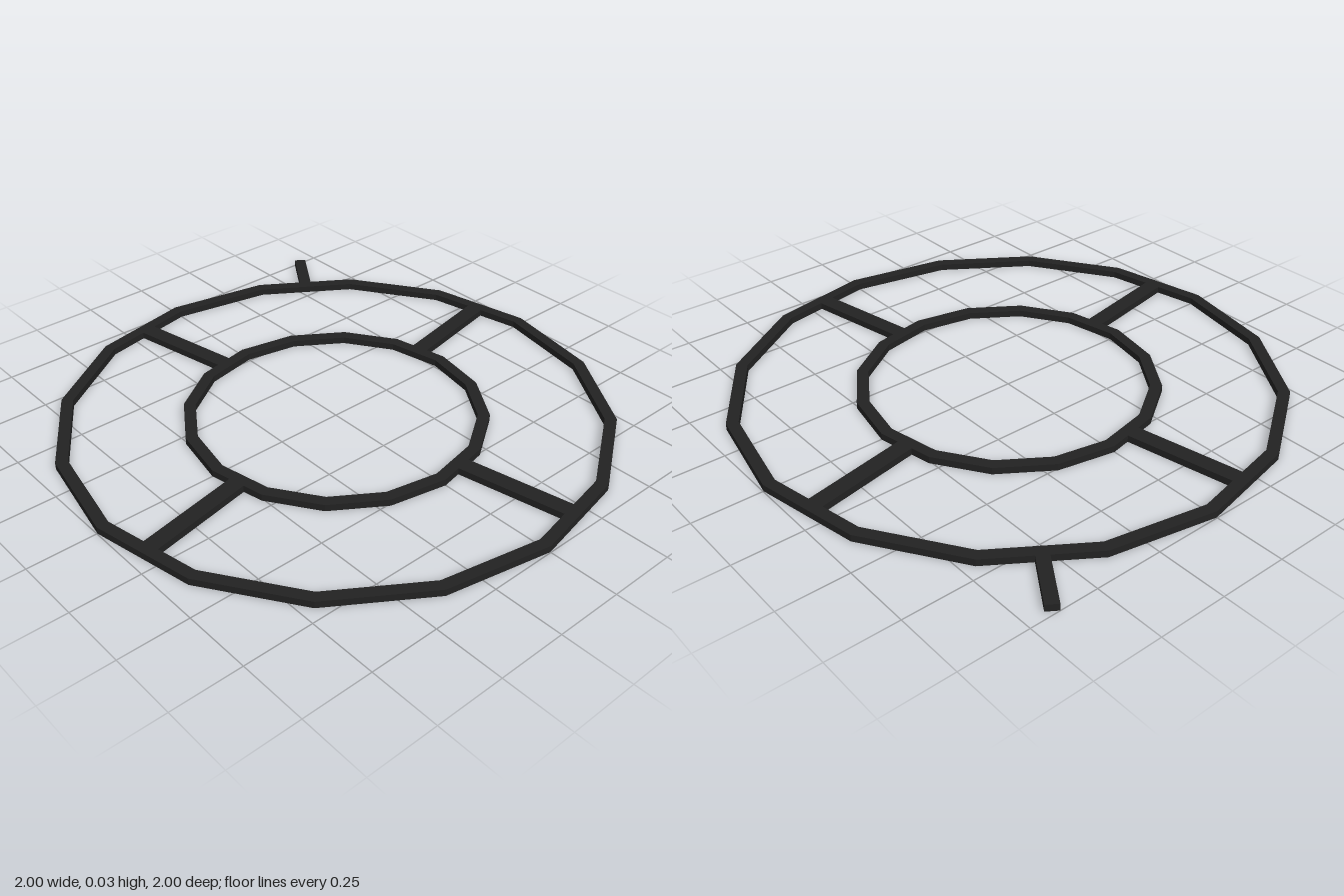
import * as THREE from 'three';

const HEIGHT = 0.025;
const SIDES = 16;
const STEP = (Math.PI * 2) / SIDES;

export function createModel() {
  const model = new THREE.Group();
  model.name = 'spokedRing';
  const material = new THREE.MeshStandardMaterial({ flatShading: true });
  material.color.set(0x222222);

  // Flat sixteen-sided ring with a rectangular section
  function addRing(name, inner, outer) {
    const profile = [
      [inner, 0], [outer, 0], [outer, HEIGHT], [inner, HEIGHT], [inner, 0],
    ].map(([r, y]) => new THREE.Vector2(r, y));
    const ring = new THREE.Mesh(new THREE.LatheGeometry(profile, SIDES), material);
    ring.name = name;
    model.add(ring);
  }

  // Radial bar; the angle is counter-clockwise from +x seen from above
  function addBar(name, angle, start, end, width) {
    const bar = new THREE.Mesh(new THREE.BoxGeometry(end - start, HEIGHT, width), material);
    const mid = (start + end) / 2;
    bar.position.set(Math.cos(angle) * mid, HEIGHT / 2, -Math.sin(angle) * mid);
    bar.rotation.y = angle;
    bar.name = name;
    model.add(bar);
  }

  addRing('outerRing', 0.955, 0.998);
  addRing('innerRing', 0.507, 0.55);

  // Four spokes, each meeting the middle of a ring side
  for (let i = 0; i < 4; i++) {
    addBar(`spoke${i + 1}`, STEP / 2 + (i * Math.PI) / 2, 0.52, 0.96, 0.062);
  }

  // Short tab sticking out of the rim at the back right
  addBar('rimTab', Math.PI - STEP * 1.5, 0.95, 1.187, 0.045);

  return model;
}
